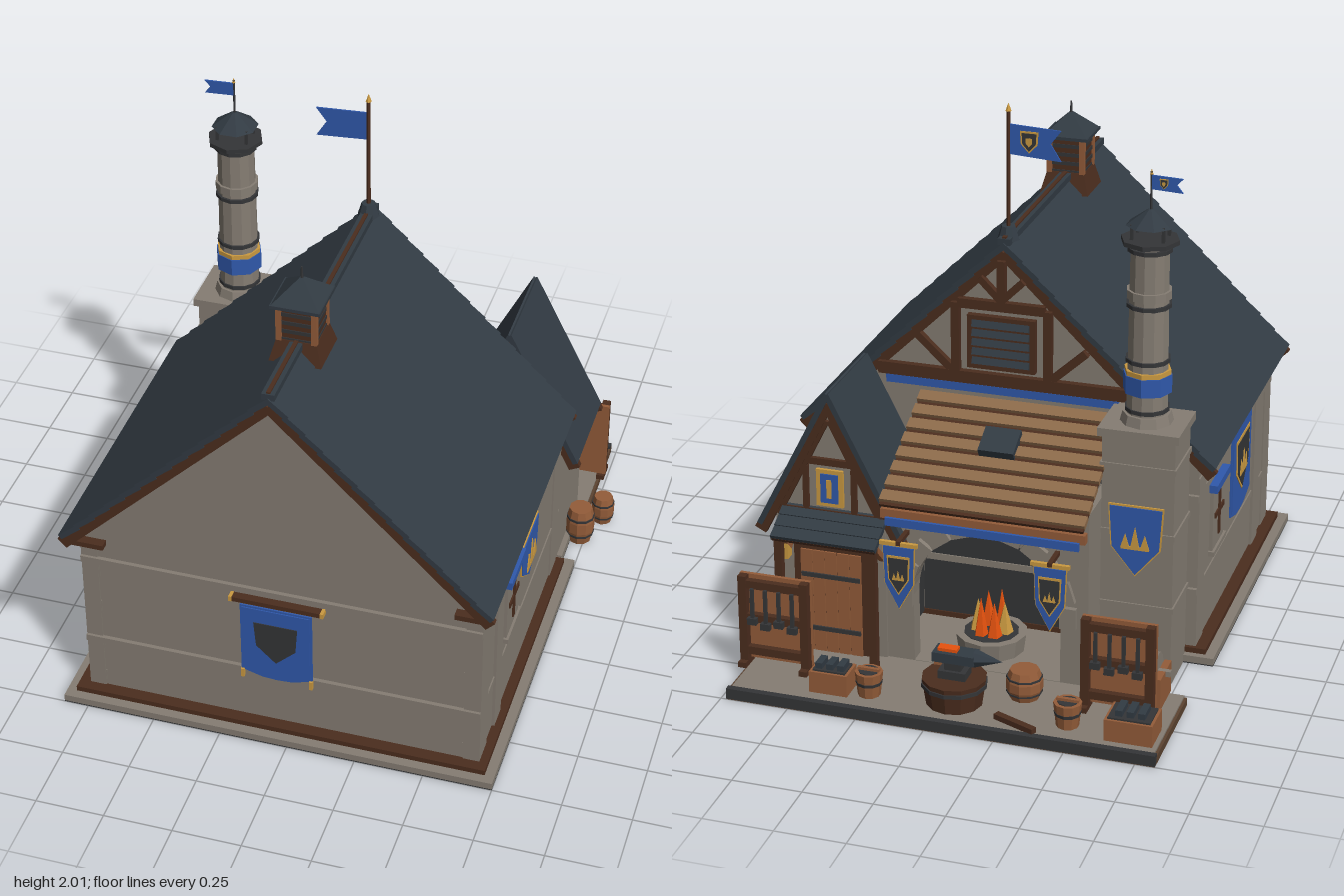
import * as THREE from 'three';

const mat = (name, color) => Object.assign(new THREE.MeshStandardMaterial({ color }), { name });
const stone = mat('stone', 0x857d73), slate = mat('slate', 0x323b43), dark = mat('darkWood', 0x4b2d1e),
  wood = mat('warmWood', 0x935c39), plank = mat('plankWood', 0x8c6a4a), deckWood = mat('deckWood', 0x5c4331),
  blue = mat('blueCloth', 0x3059ac), gold = mat('gold', 0xcb9a41), iron = mat('iron', 0x343537), ember = mat('ember', 0xe8530f);

// Every face is faceted
function put(parent, name, geo, m, x = 0, y = 0, z = 0) {
  const g = geo.index ? geo.toNonIndexed() : geo;
  g.computeVertexNormals();
  const mesh = new THREE.Mesh(g, m);
  mesh.name = name;
  mesh.position.set(x, y, z);
  parent.add(mesh);
  return mesh;
}
const box = (p, n, m, w, h, d, x, y, z) => put(p, n, new THREE.BoxGeometry(w, h, d), m, x, y, z);
const cyl = (p, n, m, r1, r2, h, x, y, z, s = 10) => put(p, n, new THREE.CylinderGeometry(r1, r2, h, s), m, x, y, z);
const poly = pts => new THREE.Shape(pts.map(q => new THREE.Vector2(...q)));
const extrude = (p, n, m, shape, depth, x = 0, y = 0, z = 0) =>
  put(p, n, new THREE.ExtrudeGeometry(shape, { depth, bevelEnabled: false }), m, x, y, z);
function group(parent, name, x = 0, y = 0, z = 0, ry = 0) {
  const g = new THREE.Group();
  g.name = name;
  g.position.set(x, y, z);
  g.rotation.y = ry;
  parent.add(g);
  return g;
}
// Timber between two points in an x-y plane
function beam(p, n, m, x1, y1, x2, y2, z, w, d) {
  const b = box(p, n, m, Math.hypot(x2 - x1, y2 - y1), w, d, (x1 + x2) / 2, (y1 + y2) / 2, z);
  b.rotation.z = Math.atan2(y2 - y1, x2 - x1);
}
// Gable roof of overlapping slate courses
function gableRoof(p, cx, ridge, half, eave, z0, z1, n) {
  const a = Math.atan2(ridge - eave, half), L = Math.hypot(half, ridge - eave);
  for (const s of [-1, 1]) {
    for (let i = 0; i < n; i++) {
      const t = (i + 0.5) / n;
      const b = box(p, 'slateCourse', slate, L / n + 0.01, 0.02, z1 - z0, cx + s * half * t, ridge - (ridge - eave) * t, (z0 + z1) / 2);
      b.rotation.z = -s * (a - (n > 1 ? 0.08 : 0));
    }
    for (const z of [z0 + 0.014, z1 - 0.014])
      beam(p, 'vergeBoard', dark, cx, ridge - 0.028, cx + s * half, eave - 0.028, z, 0.045, 0.024);
  }
}
// Lean-to roof falling towards the back; cover is the share of each course that its board fills
function leanTo(p, m, x, w, z0, y0, z1, y1, n, cover) {
  const a = Math.atan2(y0 - y1, z0 - z1), L = Math.hypot(y0 - y1, z0 - z1);
  box(p, 'roofDecking', dark, w - 0.006, 0.012, L, x, (y0 + y1) / 2 - 0.008, (z0 + z1) / 2).rotation.x = -a;
  for (let i = 0; i < n; i++) {
    const t = (i + 0.5) / n;
    box(p, 'roofBoard', m, w, 0.02, L / n * cover, x, y0 + (y1 - y0) * t, z0 + (z1 - z0) * t).rotation.x = -a + 0.08;
  }
}
const shieldShape = (w, h) => poly([[-w / 2, h / 2], [-w * 0.45, -h * 0.1], [0, -h / 2], [w * 0.45, -h * 0.1], [w / 2, h / 2]]);
const bannerShape = (w, h) => poly([[-w / 2, h / 2], [-w / 2, -h * 0.42], [-w * 0.2, -h * 0.49], [0, -h / 2], [w * 0.2, -h * 0.49], [w / 2, -h * 0.42], [w / 2, h / 2]]);
function crown(p, s, z) {
  for (const i of [-1, 0, 1])
    extrude(p, 'crownPeak', gold, poly([[-s * 0.2, -s * 0.4], [s * 0.2, -s * 0.4], [0, s * (i ? 0.25 : 0.6)]]), 0.004, i * s * 0.42, 0.01, z);
  box(p, 'crownBase', gold, s * 1.2, s * 0.14, 0.004, 0, 0.01 - s * 0.38, z + 0.002);
}
// Cloth with trim; style is 'crown', 'crest' or 'plain'
function banner(p, w, h, x, y, z, ry, style, shape = bannerShape, trim = gold) {
  const g = group(p, 'banner', x, y, z, ry);
  extrude(g, 'bannerTrim', trim, shape(w, h), 0.006);
  extrude(g, 'bannerCloth', blue, shape(w * 0.94, h * 0.95), 0.004, 0, 0, 0.006);
  if (style === 'crest') extrude(g, 'crestRim', gold, shieldShape(w * 0.7, h * 0.6), 0.003, 0, 0.01, 0.01);
  if (style !== 'crown') extrude(g, 'bannerCrest', iron, shieldShape(w * 0.61, h * 0.53), 0.003, 0, 0.01, 0.012);
  if (style !== 'plain') crown(g, w * (style === 'crown' ? 0.42 : 0.3), 0.014);
}
function barrel(p, x, z, r, h, y = 0) {
  const g = group(p, 'barrel', x, y, z);
  const prof = [[0, 0], [r * 0.8, 0], [r, h * 0.35], [r, h * 0.65], [r * 0.8, h], [0, h]].map(q => new THREE.Vector2(...q));
  put(g, 'barrelBody', new THREE.LatheGeometry(prof, 10), wood);
  for (const t of [0.25, 0.75]) cyl(g, 'barrelHoop', iron, r * 0.99, r * 0.99, h * 0.06, 0, h * t, 0);
}
function flag(p, w, h, x, y, z) {
  const g = group(p, 'flag', x, y, z);
  extrude(g, 'flagCloth', blue, poly([[0, h / 2], [-w, h * 0.42], [-w * 0.8, 0], [-w, -h / 2], [0, -h * 0.4]]), 0.006, 0, 0, -0.003);
  extrude(g, 'flagRim', gold, shieldShape(h * 0.55, h * 0.65), 0.003, -w * 0.4, 0, -0.006);
  extrude(g, 'flagCrest', iron, shieldShape(h * 0.44, h * 0.54), 0.003, -w * 0.4, 0, -0.008);
  extrude(g, 'flagMark', gold, shieldShape(h * 0.2, h * 0.26), 0.003, -w * 0.4, 0, -0.01);
}
function sideWindow(p, x, y, z, ry) {
  const g = group(p, 'sideWindow', x, y, z, ry);
  box(g, 'windowPanel', stone, 0.17, 0.27, 0.016, 0, 0, 0);
  box(g, 'windowMullion', dark, 0.02, 0.18, 0.008, 0, 0, 0.01);
  box(g, 'windowTransom', dark, 0.13, 0.02, 0.008, 0, 0.005, 0.01);
  box(g, 'windowSill', stone, 0.19, 0.018, 0.03, 0, -0.135, 0.002);
  box(g, 'windowHood', blue, 0.2, 0.03, 0.04, 0, 0.125, 0.005);
}

function house(root) {
  const g = group(root, 'house'), cx = -0.04;
  box(g, 'plinth', stone, 1.59, 0.026, 1.26, -0.045, 0.017, 0.37);
  box(g, 'plinthUnderside', iron, 1.59, 0.004, 1.26, -0.045, 0.002, 0.37);
  box(g, 'sill', dark, 1.52, 0.02, 1.2, -0.045, 0.04, 0.365);
  extrude(g, 'walls', stone, poly([[-0.76, 0.03], [0.68, 0.03], [0.68, 0.74], [cx, 1.46], [-0.76, 0.74]]), 1.14, 0, 0, -0.22);
  for (const y of [0.27, 0.635]) box(g, 'wallRail', stone, 1.45, 0.025, 1.17, cx, y, 0.35);
  // Corner blocks, pilasters, rafter tails
  for (const s of [-1, 1]) {
    for (const z of [0.875, -0.17]) box(g, 'cornerPier', stone, 0.06, 0.66, 0.1, cx + s * 0.695, 0.38, z);
    for (let i = 0; i < 8; i++) box(g, 'quoin', stone, i % 2 ? 0.04 : 0.06, 0.06, 0.016, cx + s * (i % 2 ? 0.7 : 0.69), 0.09 + i * 0.082, 0.915);
    box(g, 'pilaster', stone, 0.06, 0.66, 0.09, cx + s * 0.7, 0.38, 0.69);
    for (let i = 0; i < 9; i++) box(g, 'rafterTail', dark, 0.08, 0.025, 0.04, cx + s * 0.71, 0.72, -0.16 + i * 0.13);
    box(g, 'wallPlate', dark, 0.12, 0.02, 0.05, cx + s * 0.69, 0.718, 0.93);
  }
  gableRoof(g, -0.045, 1.505, 0.765, 0.755, -0.23, 0.98, 13);
  box(g, 'ridgeCap', slate, 0.045, 0.024, 1.2, -0.045, 1.516, 0.375);
  box(g, 'ridgeBoard', dark, 0.014, 0.008, 1.19, -0.045, 1.53, 0.375);
  // Timbered rear gable
  const t = group(g, 'rearGableFrame');
  beam(t, 'tieBeam', dark, -0.5, 1.0, 0.42, 1.0, -0.23, 0.045, 0.03);
  box(t, 'valance', blue, 0.86, 0.03, 0.02, -0.04, 0.962, -0.235);
  beam(t, 'collarBeam', dark, -0.2, 1.28, 0.12, 1.28, -0.23, 0.035, 0.03);
  beam(t, 'kingPost', dark, cx, 1.28, cx, 1.45, -0.23, 0.03, 0.03);
  for (const s of [-1, 1]) {
    beam(t, 'gablePost', dark, cx + s * 0.17, 1.0, cx + s * 0.17, 1.28, -0.23, 0.03, 0.03);
    beam(t, 'gableBrace', dark, cx + s * 0.18, 1.02, cx + s * 0.31, 1.14, -0.23, 0.028, 0.028);
    beam(t, 'gableStrut', dark, cx, 1.3, cx + s * 0.08, 1.38, -0.23, 0.025, 0.028);
  }
  box(t, 'louvreFrame', dark, 0.25, 0.2, 0.03, cx, 1.14, -0.23);
  for (let i = 0; i < 5; i++) box(t, 'louvreSlat', slate, 0.21, 0.026, 0.02, cx, 1.07 + i * 0.035, -0.245).rotation.x = 0.4;
  // Side and front hangings
  sideWindow(g, 0.685, 0.485, 0.525, Math.PI / 2);
  sideWindow(g, -0.765, 0.47, 0.05, -Math.PI / 2);
  banner(g, 0.25, 0.2, 0.685, 0.485, 0.285, Math.PI / 2, 'crown', shieldShape);
  banner(g, 0.3, 0.38, -0.765, 0.5, 0.41, -Math.PI / 2, 'crest', bannerShape, blue);
  banner(g, 0.26, 0.32, -0.045, 0.425, 0.945, 0, 'plain', bannerShape, blue);
  box(g, 'bannerRod', dark, 0.32, 0.018, 0.03, -0.04, 0.613, 0.95);
  for (const s of [-1, 1]) {
    box(g, 'rodTip', gold, 0.012, 0.02, 0.032, -0.04 + s * 0.165, 0.613, 0.95);
    box(g, 'bannerWeight', gold, 0.012, 0.035, 0.014, -0.045 + s * 0.125, 0.275, 0.952);
  }
  // Ridge cupola
  const c = group(g, 'cupola', -0.045, 0, 0.6);
  cyl(c, 'cupolaSkirt', dark, 0.1, 0.13, 0.08, 0, 1.49, 0, 4).rotation.y = Math.PI / 4;
  box(c, 'cupolaBody', dark, 0.13, 0.16, 0.13, 0, 1.58, 0);
  for (const a of [-1, 1]) for (const b of [-1, 1]) box(c, 'cupolaPost', wood, 0.02, 0.16, 0.02, a * 0.062, 1.58, b * 0.062);
  for (let i = 0; i < 4; i++) box(c, 'cupolaSlat', iron, 0.136, 0.014, 0.136, 0, 1.53 + i * 0.033, 0);
  box(c, 'cupolaEave', slate, 0.175, 0.012, 0.175, 0, 1.663, 0);
  cyl(c, 'cupolaRoof', slate, 0.01, 0.12, 0.075, 0, 1.705, 0, 4).rotation.y = Math.PI / 4;
  cyl(c, 'finial', iron, 0.003, 0.006, 0.05, 0, 1.76, 0, 6);
  // Ridge flag
  cyl(g, 'poleSocket', slate, 0.025, 0.04, 0.05, -0.045, 1.535, -0.17, 8);
  cyl(g, 'flagPole', dark, 0.007, 0.008, 0.47, -0.045, 1.75, -0.17, 6);
  cyl(g, 'poleTip', gold, 0, 0.011, 0.03, -0.045, 1.99, -0.17, 6);
  flag(g, 0.19, 0.12, -0.045, 1.87, -0.17);
}

function chimney(root) {
  const g = group(root, 'chimney', -0.6, 0, -0.345);
  box(g, 'chimneyBase', stone, 0.26, 0.95, 0.21, 0, 0.475, 0);
  for (const y of [0.3, 0.58, 0.83]) box(g, 'baseCourse', stone, 0.272, 0.02, 0.222, 0, y, 0);
  box(g, 'baseCap', stone, 0.29, 0.03, 0.24, 0, 0.955, 0);
  cyl(g, 'stackFoot', stone, 0.085, 0.095, 0.04, 0, 0.985, 0);
  cyl(g, 'stack', stone, 0.068, 0.074, 0.64, 0, 1.31, 0, 12);
  for (const y of [1.02, 1.2, 1.4, 1.6]) cyl(g, 'stackRing', iron, 0.079, 0.079, 0.014, 0, y, 0, 12);
  cyl(g, 'stackCollar', stone, 0.079, 0.079, 0.03, 0, 1.44, 0, 12);
  cyl(g, 'blueBand', blue, 0.087, 0.087, 0.066, 0, 1.116, 0, 8);
  cyl(g, 'goldBand', gold, 0.083, 0.083, 0.02, 0, 1.156, 0, 8);
  cyl(g, 'rim', iron, 0.102, 0.102, 0.016, 0, 1.628, 0, 8);
  for (let i = 0; i < 4; i++) box(g, 'capPost', iron, 0.01, 0.06, 0.01, i < 2 ? 0.055 : -0.055, 1.66, i % 2 ? 0.04 : -0.04);
  cyl(g, 'capRoof', slate, 0.01, 0.085, 0.055, 0, 1.71, 0, 8).rotation.y = Math.PI / 8;
  cyl(g, 'capPole', iron, 0.004, 0.004, 0.14, 0, 1.8, 0, 6);
  cyl(g, 'capPoleTip', gold, 0, 0.006, 0.02, 0, 1.87, 0, 6);
  flag(g, 0.11, 0.055, 0, 1.83, 0);
  banner(g, 0.2, 0.27, 0, 0.56, -0.118, Math.PI, 'crown', shieldShape);
}

function annex(root) {
  const g = group(root, 'annex', 0.47, 0, 0);
  extrude(g, 'annexWalls', stone, poly([[-0.2, 0.01], [0.21, 0.01], [0.21, 0.56], [0, 0.98], [-0.2, 0.56]]), 0.4, 0, 0, -0.61);
  gableRoof(g, 0, 1.035, 0.265, 0.515, -0.63, -0.235, 1);
  for (const s of [-1, 1]) {
    beam(g, 'gableTimber', dark, s * 0.2, 0.56, s * 0.01, 0.94, -0.615, 0.03, 0.02);
    beam(g, 'gableStud', dark, s * 0.09, 0.58, s * 0.09, 0.76, -0.615, 0.02, 0.02);
  }
  beam(g, 'gableTie', dark, -0.2, 0.58, 0.2, 0.58, -0.615, 0.03, 0.02);
  beam(g, 'gableCollar', dark, -0.1, 0.78, 0.1, 0.78, -0.615, 0.025, 0.02);
  box(g, 'gableWindowFrame', gold, 0.1, 0.14, 0.014, 0, 0.68, -0.615);
  box(g, 'gableWindowPane', blue, 0.065, 0.11, 0.006, 0, 0.68, -0.624);
  box(g, 'gableWindowBar', gold, 0.018, 0.07, 0.005, 0, 0.68, -0.628);
  leanTo(g, slate, -0.015, 0.39, -0.61, 0.59, -0.74, 0.52, 3, 1.12);
  // Door under the canopy
  box(g, 'doorFrame', dark, 0.28, 0.44, 0.02, 0, 0.25, -0.615);
  for (let i = 0; i < 5; i++) box(g, 'doorPlank', wood, 0.043, 0.4, 0.02, -0.092 + i * 0.046, 0.235, -0.622);
  for (const y of [0.13, 0.34]) box(g, 'doorStrap', iron, 0.22, 0.016, 0.008, 0, y, -0.635);
  for (const x of [-0.19, 0.16]) {
    box(g, 'canopyPost', dark, 0.028, 0.48, 0.028, x, 0.28, -0.715);
    box(g, 'canopyBracket', wood, 0.02, 0.14, 0.02, x, 0.48, -0.665).rotation.x = -0.8;
  }
  box(g, 'lantern', gold, 0.04, 0.06, 0.04, 0.17, 0.43, -0.64);
}

function forge(root) {
  const g = group(root, 'forge');
  box(g, 'deck', deckWood, 1.55, 0.03, 0.44, -0.045, 0.015, -0.78);
  box(g, 'deckPaving', stone, 1.53, 0.008, 0.42, -0.045, 0.034, -0.77);
  box(g, 'deckCurb', iron, 1.55, 0.04, 0.025, -0.045, 0.022, -0.988);
  box(g, 'forgeFloor', stone, 1.17, 0.034, 0.3, 0.115, 0.021, -0.41);
  box(g, 'forgeFloorUnderside', iron, 1.17, 0.004, 0.3, 0.115, 0.002, -0.41);
  // Stone bay with an arched mouth
  const front = poly([[-0.47, 0.03], [0.27, 0.03], [0.27, 0.7], [-0.47, 0.7]]), mouth = new THREE.Path();
  mouth.moveTo(-0.37, 0.04).lineTo(-0.37, 0.3).absarc(-0.1, 0.3, 0.27, Math.PI, 0, true).lineTo(0.17, 0.04).closePath();
  front.holes.push(mouth);
  extrude(g, 'forgeFront', stone, front, 0.06, 0, 0, -0.6);
  box(g, 'forgeSide', stone, 0.03, 0.67, 0.32, -0.455, 0.365, -0.39);
  for (let i = 0; i < 11; i++) {
    const a = Math.PI * i / 10;
    box(g, 'archStone', stone, 0.06, 0.08, 0.03, -0.1 + 0.3 * Math.cos(a), 0.3 + 0.3 * Math.sin(a), -0.605).rotation.z = a;
  }
  box(g, 'hearthBack', iron, 0.7, 0.7, 0.008, -0.09, 0.38, -0.226);
  for (const x of [-0.436, 0.265]) box(g, 'hearthLining', iron, 0.008, 0.64, 0.31, x, 0.36, -0.385);
  // Plank roof, beam and hangings
  leanTo(g, plank, -0.11, 0.74, -0.235, 0.93, -0.7, 0.69, 8, 0.72);
  box(g, 'roofHatch', slate, 0.13, 0.04, 0.11, -0.095, 0.845, -0.425).rotation.x = -0.48;
  box(g, 'eaveBeam', wood, 0.74, 0.035, 0.03, -0.11, 0.645, -0.67);
  box(g, 'eaveValance', blue, 0.7, 0.03, 0.012, -0.11, 0.62, -0.69);
  for (const x of [-0.36, 0.19]) {
    box(g, 'bannerArm', dark, 0.016, 0.016, 0.1, x, 0.545, -0.655);
    box(g, 'bannerRail', gold, 0.14, 0.014, 0.014, x, 0.54, -0.695);
    banner(g, 0.12, 0.25, x, 0.41, -0.69, Math.PI, 'crest', shieldShape);
  }
  // Fire bowl
  cyl(g, 'fireBowl', stone, 0.13, 0.12, 0.07, -0.06, 0.07, -0.42, 12);
  cyl(g, 'coals', iron, 0.1, 0.1, 0.01, -0.06, 0.102, -0.42, 12);
  for (let i = 0; i < 6; i++) cyl(g, 'flame', i % 3 ? ember : gold, 0, 0.032, 0.12 + 0.03 * (i % 3), -0.06 + 0.05 * Math.cos(i * 1.05), 0.165, -0.42 + 0.05 * Math.sin(i * 1.05), 5);
}

function workshop(root) {
  const g = group(root, 'workshop');
  // Anvil on a stump
  cyl(g, 'stump', dark, 0.115, 0.1, 0.1, -0.06, 0.09, -0.84, 12);
  cyl(g, 'stumpHoop', iron, 0.117, 0.117, 0.014, -0.06, 0.115, -0.84, 12);
  box(g, 'anvilFoot', iron, 0.1, 0.03, 0.07, -0.06, 0.155, -0.84);
  box(g, 'anvilWaist', iron, 0.06, 0.04, 0.045, -0.06, 0.185, -0.84);
  box(g, 'anvilTop', slate, 0.15, 0.035, 0.07, -0.065, 0.22, -0.84);
  cyl(g, 'anvilHorn', slate, 0, 0.033, 0.1, -0.185, 0.22, -0.84, 6).rotation.z = Math.PI / 2;
  box(g, 'hotIngot', ember, 0.07, 0.012, 0.035, -0.04, 0.243, -0.84);
  box(g, 'hammerHandle', wood, 0.12, 0.012, 0.014, -0.03, 0.15, -0.785);
  // Tool boards
  for (const [x, z] of [[-0.62, -0.75], [0.62, -0.8]]) {
    const r = group(g, 'toolRack', x, 0.04, z);
    box(r, 'rackBoard', wood, 0.265, 0.33, 0.014, 0, 0.185, 0.02);
    for (const s of [-1, 1]) {
      box(r, 'rackPost', dark, 0.03, 0.35, 0.03, s * 0.115, 0.175, -0.002);
      box(r, 'rackFoot', dark, 0.03, 0.02, 0.08, s * 0.115, 0.01, 0);
    }
    for (const y of [0.06, 0.19, 0.32]) box(r, 'rackRail', dark, 0.25, 0.03, 0.024, 0, y, -0.002);
    for (let i = 0; i < 4; i++) {
      box(r, 'toolHandle', iron, 0.012, 0.14, 0.012, -0.075 + i * 0.05, 0.24, -0.022);
      box(r, 'toolHead', iron, 0.035, 0.025, 0.02, -0.075 + i * 0.05, 0.17 + 0.015 * (i % 2), -0.024);
    }
  }
  // Buckets and crates
  for (const x of [-0.48, 0.24]) {
    cyl(g, 'bucket', wood, 0.05, 0.04, 0.09, x, 0.085, -0.88);
    cyl(g, 'bucketHoop', iron, 0.048, 0.046, 0.012, x, 0.09, -0.88);
    cyl(g, 'bucketWater', iron, 0.036, 0.036, 0.004, x, 0.131, -0.88);
    box(g, 'bucketHandle', wood, 0.08, 0.01, 0.014, x, 0.138, -0.88);
  }
  for (const [x, w, d] of [[-0.71, 0.17, 0.13], [0.375, 0.14, 0.1]]) {
    box(g, 'crate', wood, w, 0.08, d, x, 0.08, -0.88);
    box(g, 'crateContents', iron, w - 0.02, 0.008, d - 0.02, x, 0.122, -0.88);
    for (let i = 0; i < 3; i++) box(g, 'ironBar', slate, 0.025, 0.025, d * 0.6, x - 0.04 + i * 0.04, 0.135, -0.88);
  }
  box(g, 'looseBeam', dark, 0.17, 0.02, 0.025, -0.31, 0.05, -0.94).rotation.y = -0.4;
  // Grindstone
  for (const s of [-1, 1]) box(g, 'grinderSide', wood, 0.025, 0.12, 0.15, -0.715 + s * 0.03, 0.1, -0.62);
  cyl(g, 'grindWheel', stone, 0.07, 0.07, 0.03, -0.715, 0.15, -0.62, 12).rotation.z = Math.PI / 2;
  box(g, 'grinderAxle', stone, 0.15, 0.02, 0.02, -0.7, 0.15, -0.62);
  // Barrels
  barrel(g, -0.28, -0.73, 0.065, 0.11, 0.035);
  barrel(g, 0.73, -0.435, 0.055, 0.15);
  barrel(g, 0.79, -0.57, 0.044, 0.115);
}

export function createModel() {
  const root = new THREE.Group();
  root.name = 'smithy';
  for (const part of [house, chimney, annex, forge, workshop]) part(root);
  return root;
}
